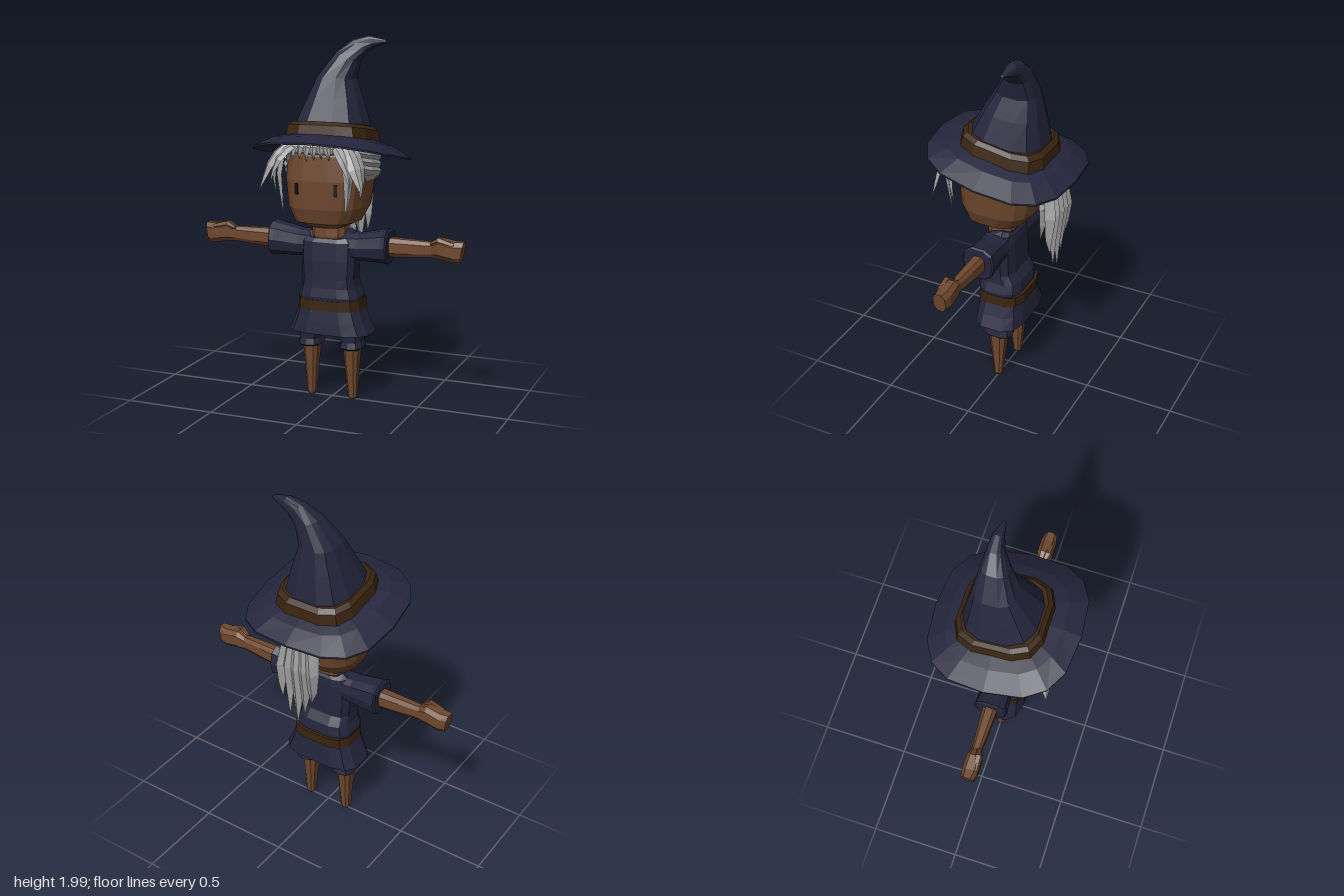
import * as THREE from 'three';

const mat = (name, color) => Object.assign(new THREE.MeshStandardMaterial({ color, flatShading: true }), { name });

// Closed skin over a list of point rings
function skin(rings) {
  const n = rings[0].length, pos = [], idx = [];
  rings.forEach(r => r.forEach(p => pos.push(p.x, p.y, p.z)));
  for (let i = 0; i < rings.length - 1; i++) {
    for (let j = 0; j < n; j++) {
      const a = i * n + j, b = i * n + (j + 1) % n, d = a + n, c = b + n;
      idx.push(a, d, b, b, d, c);
    }
  }
  [0, rings.length - 1].forEach((i, top) => {
    const m = rings[i].reduce((s, p) => s.add(p), new THREE.Vector3()).divideScalar(n);
    const k = pos.length / 3;
    pos.push(m.x, m.y, m.z);
    for (let j = 0; j < n; j++) {
      const a = i * n + j, b = i * n + (j + 1) % n;
      if (top) idx.push(k, b, a); else idx.push(k, a, b);
    }
  });
  const g = new THREE.BufferGeometry();
  g.setAttribute('position', new THREE.Float32BufferAttribute(pos, 3));
  g.setIndex(idx);
  g.computeVertexNormals();
  return g;
}

// Rounded-square rings from bottom to top: [x, y, z, rx, rz, slopeX, slopeZ, lift(cos, sin)]
function loft(rings, n = 12, e = 0.7, turn = 0.5) {
  const pw = v => Math.sign(v) * Math.abs(v) ** e;
  return skin(rings.map(([x, y, z, rx, rz, sx = 0, sz = 0, lift]) =>
    Array.from({ length: n }, (_, j) => {
      const t = (j + turn) / n * Math.PI * 2;
      const c = pw(Math.cos(t)), s = pw(Math.sin(t));
      const up = lift ? lift(c, s) : 0;
      return new THREE.Vector3(x + rx * c, y + sx * rx * c + sz * rz * s + up, z + rz * s);
    })));
}

// Loft running along +x: [x, y, z, halfHeight, halfDepth, slope]
const limb = (rings, n, e) =>
  loft(rings.map(([x, y, z, h, d, s = 0]) => [-y, x, z, h, d, -s]), n, e).rotateZ(-Math.PI / 2);

function mirrored(geo) {
  const g = geo.clone().scale(-1, 1, 1), a = g.index.array;
  for (let i = 0; i < a.length; i += 3) [a[i], a[i + 1]] = [a[i + 1], a[i]];
  g.computeVertexNormals();
  return g;
}

// Diamond-section lock of hair, wide across the head and pointed at the end
function strand(points, w, d) {
  const curve = new THREE.CatmullRomCurve3(points.map(p => new THREE.Vector3(...p)));
  const widths = [0.6, 1, 0.95, 0.6, 0.02];
  return skin(widths.map((k, i) => {
    const p = curve.getPoint(i / 4), t = curve.getTangent(i / 4);
    const out = new THREE.Vector3(p.x, 0, p.z).normalize();
    const s = t.clone().cross(out).normalize();
    const o = s.clone().cross(t).normalize();
    if (o.dot(out) < 0) o.negate();
    return [[s, w], [o, d], [s, -w], [o, -d]].map(([v, m]) => p.clone().addScaledVector(v, m * k));
  }));
}

export function createModel() {
  const model = new THREE.Group();
  model.name = 'youngMage';
  const cloth = mat('navyCloth', 0x25253d);
  const skinMat = mat('brownSkin', 0x6f482e);
  const leather = mat('darkLeather', 0x3a2510);
  const hairMat = mat('silverHair', 0xa3a3a3);
  const black = mat('eyeBlack', 0x17100c);

  const add = (name, geo, material) => {
    const m = new THREE.Mesh(geo, material);
    m.name = name;
    model.add(m);
    return m;
  };
  const pair = (name, geo, material) => {
    add(name + 'Left', geo, material);
    add(name + 'Right', mirrored(geo), material);
  };

  // Head and neck
  add('head', loft([
    [0, 0.983, 0.04, 0.085, 0.09], [0, 1.02, 0.045, 0.17, 0.165],
    [0, 1.1, 0.025, 0.207, 0.21], [0, 1.25, 0.01, 0.225, 0.235],
    [0, 1.38, 0.01, 0.21, 0.225], [0, 1.48, 0, 0.15, 0.16],
  ], 16), skinMat);
  add('neck', loft([
    [0, 0.87, 0.02, 0.07, 0.06], [0, 0.93, 0.02, 0.1, 0.08], [0, 1.01, 0.02, 0.095, 0.075],
  ], 10), skinMat);
  for (const s of [1, -1]) {
    const eye = add(s > 0 ? 'eyeLeft' : 'eyeRight', new THREE.BoxGeometry(0.018, 0.06, 0.009), black);
    eye.position.set(s * 0.11, 1.205, 0.228);
    eye.rotation.y = s * 0.3;
  }

  // Tunic, belt and skirt
  add('tunic', loft([
    [0, 0.55, 0, 0.175, 0.12], [0, 0.6, 0.005, 0.176, 0.125], [0, 0.65, 0.005, 0.158, 0.118],
    [0, 0.7, 0.02, 0.152, 0.1], [0, 0.8, 0.02, 0.158, 0.098], [0, 0.9, 0.018, 0.158, 0.094],
    [0, 0.95, 0.015, 0.14, 0.085, 0, 0, (c, s) => (s > 0 ? -0.03 * s : 0.01 * s)],
    [0, 0.982, 0.015, 0.11, 0.075, 0, 0, (c, s) => (s > 0 ? -0.07 * s : 0.03 * s)],
  ], 12, 0.6), cloth);
  add('belt', loft([
    [0, 0.527, -0.004, 0.182, 0.134], [0, 0.583, -0.004, 0.178, 0.134],
  ], 12, 0.6), leather);
  add('skirt', loft([
    [0, 0.393, -0.006, 0.235, 0.142], [0, 0.46, -0.004, 0.205, 0.134], [0, 0.555, -0.002, 0.17, 0.122],
  ], 12, 0.6), cloth);

  // Sleeves, arms and hands
  pair('sleeve', limb([
    [0.1, 0.88, 0.015, 0.07, 0.08], [0.17, 0.878, 0.015, 0.074, 0.08],
    [0.31, 0.89, 0.012, 0.09, 0.09], [0.335, 0.89, 0.012, 0.097, 0.094], [0.342, 0.89, 0.012, 0.086, 0.084],
  ], 10, 0.75), cloth);
  pair('arm', limb([
    [0.3, 0.885, 0.01, 0.056, 0.044], [0.45, 0.888, 0.012, 0.05, 0.036], [0.575, 0.892, 0.014, 0.043, 0.028],
    [0.62, 0.903, 0.018, 0.058, 0.045], [0.7, 0.89, 0.018, 0.058, 0.047], [0.742, 0.892, 0.018, 0.057, 0.036, 0.15],
  ], 8, 0.7), skinMat);
  pair('thumb', limb([
    [0.57, 0.925, 0.03, 0.01, 0.015], [0.615, 0.945, 0.04, 0.022, 0.022], [0.7, 0.925, 0.045, 0.016, 0.016],
  ], 6, 0.8), skinMat);

  // Shorts and legs
  pair('shortsLeg', loft([
    [0.122, 0.302, 0, 0.055, 0.076], [0.122, 0.312, 0, 0.066, 0.088],
    [0.122, 0.345, 0, 0.058, 0.08], [0.112, 0.42, 0, 0.07, 0.09],
  ], 10), cloth);
  pair('leg', loft([
    [0.122, 0.008, 0, 0.016, 0.016], [0.122, 0.022, 0, 0.026, 0.024],
    [0.12, 0.17, 0.002, 0.036, 0.04], [0.119, 0.32, 0.002, 0.048, 0.056],
  ], 8), skinMat);

  // Hat brim, tilted back with drooping sides
  const droop = c => -0.03 * c * c;
  add('hatBrim', loft([
    [0, 1.435, -0.01, 0.2, 0.21, 0, 0.18], [0, 1.424, -0.005, 0.3, 0.3, 0, 0.18, c => droop(c) * 0.3],
    [0, 1.39, 0, 0.4, 0.393, 0, 0.185, droop], [0, 1.4, 0, 0.4, 0.393, 0, 0.185, droop],
    [0, 1.44, -0.005, 0.3, 0.3, 0, 0.18, c => droop(c) * 0.3], [0, 1.46, -0.01, 0.2, 0.21, 0, 0.18],
  ], 16, 0.7, 0), cloth);
  add('hatBand', loft([
    [0, 1.435, -0.012, 0.238, 0.243, 0, 0.18], [0, 1.505, -0.016, 0.222, 0.232, 0, 0.17],
    [0, 1.525, -0.016, 0.2, 0.208, 0, 0.17],
  ], 12, 0.6), leather);
  // Crown, bending to the side at the tip
  add('hatCrown', loft([
    [0, 1.46, -0.014, 0.205, 0.215, 0, 0.17], [0, 1.53, -0.02, 0.192, 0.2, 0, 0.15],
    [0.002, 1.66, -0.04, 0.146, 0.155, 0, 0.1], [0.003, 1.77, -0.058, 0.102, 0.115, -0.05, 0.05],
    [0.06, 1.885, -0.08, 0.066, 0.073, -0.35], [0.125, 1.943, -0.098, 0.042, 0.045, -0.8],
    [0.188, 1.968, -0.105, 0.018, 0.03, -1.7], [0.268, 1.967, -0.1, 0.004, 0.008, -2],
  ], 12, 0.75), cloth);

  // Hair cap with the hairline raised over the face
  const line = (c, s) => 0.155 * THREE.MathUtils.smoothstep(s, 0.45, 0.9) - 0.02 * THREE.MathUtils.smoothstep(-s, 0, 1);
  add('hairCap', loft([
    [0, 1.24, 0, 0.222, 0.235, 0, 0, line], [0, 1.27, 0, 0.238, 0.25, 0, 0, (c, s) => line(c, s) * 0.85],
    [0, 1.4, 0.005, 0.225, 0.24, 0, 0, (c, s) => 0.03 * Math.max(s, 0)], [0, 1.47, 0, 0.17, 0.19],
  ], 20, 0.75), hairMat);

  const lock = (name, pts, w, d) => add(name, strand(pts, w, d), hairMat);
  // Short fringe fanned over the forehead
  for (let i = -5; i <= 5; i++) {
    const x = i * 0.038;
    lock('fringe', [[x * 0.7, 1.46, 0.2], [x, 1.43, 0.262 - x * x], [x * 1.1, 1.365 + 0.01 * (i % 2), 0.255 - x * x]], 0.024, 0.014);
  }
  for (const s of [1, -1]) {
    // Locks framing the face
    lock('frontLock', [[s * 0.14, 1.44, 0.24], [s * 0.19, 1.35, 0.265], [s * 0.19, 1.22, 0.255], [s * 0.175, 1.06, 0.25]], 0.028, 0.014);
    lock('frontLock', [[s * 0.16, 1.45, 0.22], [s * 0.22, 1.37, 0.275], [s * 0.255, 1.29, 0.29], [s * 0.29, 1.2, 0.305]], 0.036, 0.014);
    lock('frontLock', [[s * 0.17, 1.45, 0.19], [s * 0.225, 1.37, 0.22], [s * 0.245, 1.28, 0.215], [s * 0.24, 1.16, 0.2]], 0.034, 0.014);
    lock('frontLock', [[s * 0.1, 1.45, 0.23], [s * 0.16, 1.4, 0.285], [s * 0.2, 1.33, 0.3], [s * 0.225, 1.24, 0.315]], 0.026, 0.012);
    // Side hair swept to the back
    for (let i = 0; i < 4; i++) {
      const y = 1.27 + i * 0.04;
      lock('sideSweep', [[s * 0.19, y + 0.06, 0.19], [s * 0.235, y + 0.03, 0.06],
        [s * 0.22, y, -0.12], [s * 0.12, y - 0.03, -0.235], [s * 0.01, y - 0.04, -0.26]], 0.03, 0.017);
    }
  }

  // Ponytail of pointed locks
  [[0, 0.765, 0.06], [-0.045, 0.84, 0.05], [0.05, 0.8, 0.05], [-0.09, 0.93, 0.042], [0.095, 0.9, 0.042]].forEach(([x, tip, w]) => {
    lock('ponytail', [[x * 0.4, 1.36, -0.21], [x * 0.9, 1.22, -0.285], [x * 1.05, 1.03, -0.285], [x, tip, -0.292]], w, 0.042);
  });
  for (const s of [1, -1])
    lock('ponytailUnder', [[s * 0.02, 1.27, -0.2], [s * 0.06, 1.15, -0.24], [s * 0.05, 0.94, -0.215]], 0.045, 0.03);

  return model;
}
